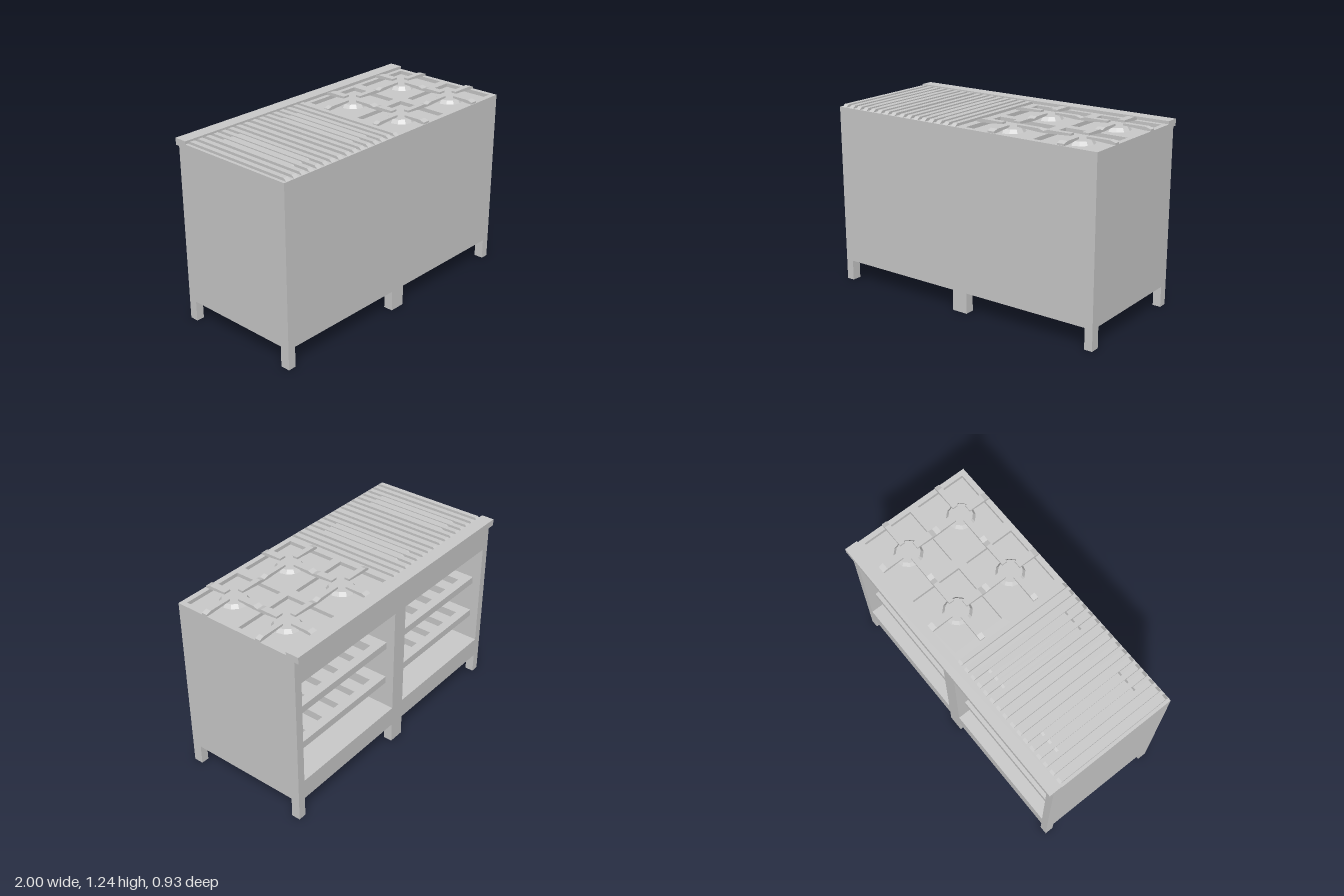
import * as THREE from 'three';

const material = new THREE.MeshStandardMaterial({ color: 0xcccccc, flatShading: true });
const openMaterial = new THREE.MeshStandardMaterial({ color: 0xcccccc, flatShading: true, side: THREE.DoubleSide });

export function createModel() {
  const model = new THREE.Group();

  function add(name, geometry, parent = model, mat = material) {
    const mesh = new THREE.Mesh(geometry, mat);
    mesh.name = name;
    parent.add(mesh);
    return mesh;
  }

  // Box given by its limits on each axis
  function boxGeo(x0, x1, y0, y1, z0, z1) {
    return new THREE.BoxGeometry(x1 - x0, y1 - y0, z1 - z0)
      .translate((x0 + x1) / 2, (y0 + y1) / 2, (z0 + z1) / 2);
  }

  function rect(Type, x0, x1, y0, y1) {
    return new Type([[x0, y0], [x1, y0], [x1, y1], [x0, y1]].map(p => new THREE.Vector2(...p)));
  }

  function extrude(shape, depth) {
    return new THREE.ExtrudeGeometry(shape, { depth, bevelEnabled: false });
  }

  // Profile of [distance along z, height] points, given a width in x
  function zBar(points, width) {
    const shape = new THREE.Shape(points.map(([z, y]) => new THREE.Vector2(-z, y)));
    return extrude(shape, width).translate(0, 0, -width / 2).rotateY(Math.PI / 2);
  }

  // Cabinet with two compartments open at the back
  const cabinet = rect(THREE.Shape, -1, 1, 0.14, 1.195);
  for (const [x0, x1] of [[-0.945, -0.055], [0.055, 0.945]]) {
    cabinet.holes.push(rect(THREE.Path, x0, x1, 0.28, 1.02));
  }
  add('cabinet', extrude(cabinet, 0.835).translate(0, 0, -0.435));
  add('frontPanel', boxGeo(-1, 1, 0.14, 1.195, 0.4, 0.465));

  // Hollow legs, open at the bottom
  for (const [x0, x1] of [[-1, -0.945], [-0.055, 0.055], [0.945, 1]]) {
    for (const [z0, z1] of [[-0.435, -0.375], [0.4, 0.465]]) {
      const leg = boxGeo(x0, x1, 0, 0.14, z0, z1);
      const index = Array.from(leg.index.array);
      leg.setIndex([...index.slice(0, 12), ...index.slice(24)]);
      add('leg', leg, model, openMaterial);
    }
  }

  // Slatted shelves
  for (const side of [-1, 1]) {
    for (const top of [0.51, 0.78]) {
      const shelf = new THREE.Group();
      shelf.name = 'shelf';
      shelf.position.set(side * 0.5, top, 0);
      model.add(shelf);
      add('shelfRail', boxGeo(-0.445, 0.445, -0.05, 0, -0.375, -0.315), shelf);
      add('shelfRail', boxGeo(-0.445, 0.445, -0.05, 0, 0.34, 0.4), shelf);
      for (let i = 0; i < 6; i++) {
        const x = -0.4 + i * 0.16;
        add('shelfSlat', boxGeo(x - 0.045, x + 0.045, -0.05, 0, -0.315, 0.34), shelf);
      }
    }
  }

  // Worktop with four sunken burner wells
  const burnerX = [0.25, 0.75], burnerZ = [-0.165, 0.25];
  const worktop = rect(THREE.Shape, -1, 1, -0.465, 0.435);
  for (const x of burnerX) {
    for (const z of burnerZ) {
      worktop.holes.push(rect(THREE.Path, x - 0.215, x + 0.215, -z - 0.178, -z + 0.178));
    }
  }
  add('worktop', extrude(worktop, 0.025).rotateX(-Math.PI / 2).translate(0, 1.195, 0));
  add('rearLedge', boxGeo(-1, 1, 1.195, 1.24, -0.465, -0.375));

  // Two grill grates of bars with sloped ends
  const bar = zBar([[-0.375, 1.22], [0.462, 1.22], [0.44, 1.237], [-0.355, 1.237]], 0.034);
  const lowBar = zBar([[-0.265, 1.22], [0.345, 1.22], [0.33, 1.23], [-0.25, 1.23]], 0.028);
  for (const start of [-0.962, -0.465]) {
    const grate = new THREE.Group();
    grate.name = 'grillGrate';
    model.add(grate);
    for (let i = 0; i < 8; i++) add('grillBar', bar, grate).position.x = start + i * 0.061;
    for (let i = 2; i < 5; i++) add('grillLowBar', lowBar, grate).position.x = start + (i + 0.5) * 0.061;
  }

  // Burners, each with four pan-support arms pointing to its centre
  const armGeo = (reach, width) => zBar([
    [0.055, 1.23], [reach - 0.04, 1.22], [reach, 1.22],
    [reach, 1.232], [reach - 0.035, 1.243], [0.055, 1.243],
  ], width);
  const longArm = armGeo(0.25, 0.037), shortArm = armGeo(0.21, 0.05);
  const cap = new THREE.CylinderGeometry(0.078, 0.095, 0.025, 12).translate(0, 1.2075, 0);
  for (const x of burnerX) {
    for (const z of burnerZ) {
      const burner = new THREE.Group();
      burner.name = 'burner';
      burner.position.set(x, 0, z);
      model.add(burner);
      add('burnerCap', cap, burner);
      for (let i = 0; i < 4; i++) {
        add('panSupportArm', i % 2 ? longArm : shortArm, burner).rotation.y = i * Math.PI / 2;
      }
    }
  }

  return model;
}
